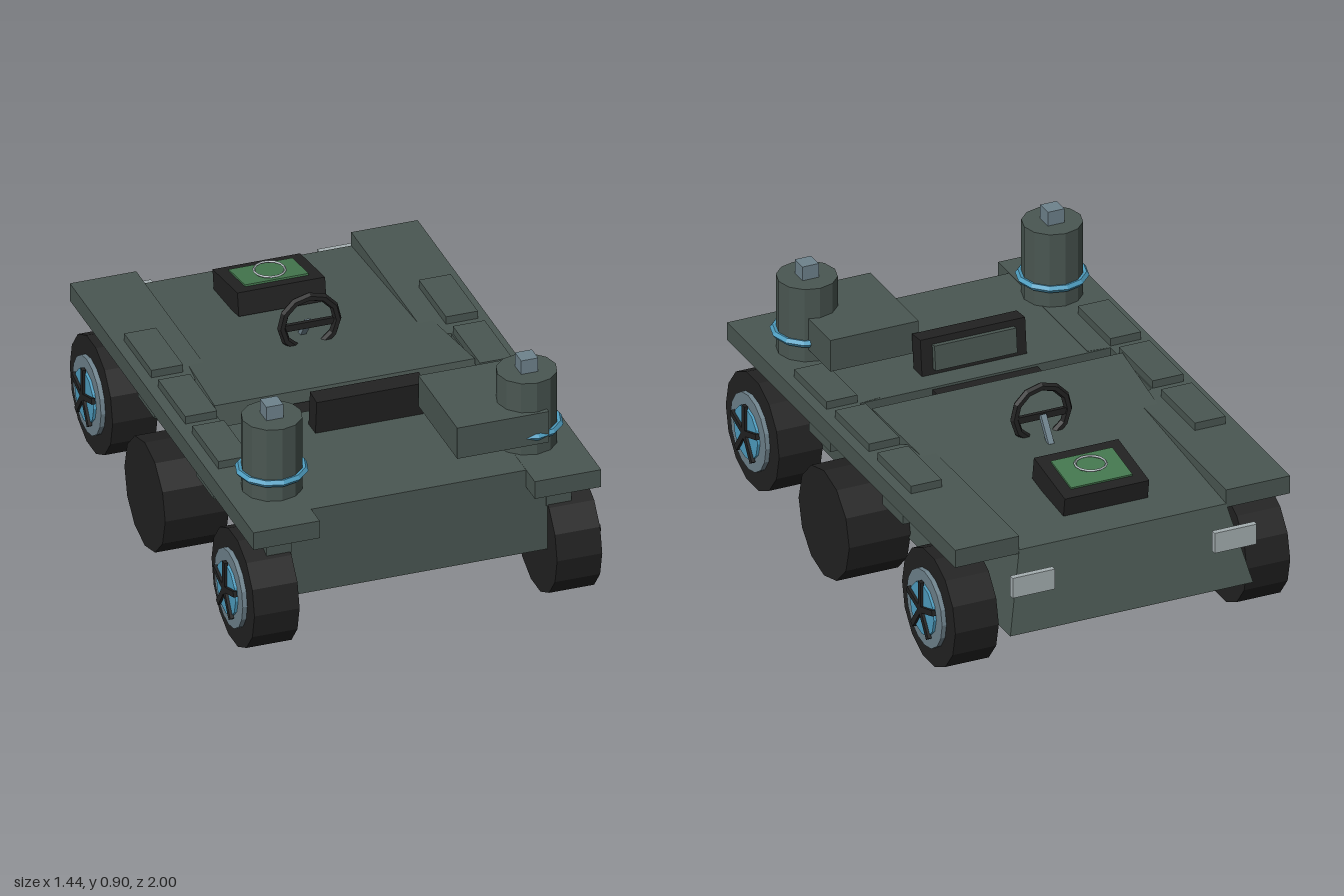
import * as THREE from 'three';

const paint = (name, color) => {
  const m = new THREE.MeshStandardMaterial({ color });
  m.name = name;
  m.flatShading = true;
  return m;
};

export function createModel() {
  const root = new THREE.Group();
  root.name = 'buggy';
  const hullGreen = paint('hull green', 0x4a5752);
  const black = paint('black rubber', 0x222222);
  const steel = paint('steel', 0x6f838d);
  const blue = paint('blue', 0x4f9fc2);
  const green = paint('screen green', 0x45784f);
  const pale = paint('pale grey', 0xa6b0b2);

  const add = (name, geo, mat, x = 0, y = 0, z = 0, parent = root) => {
    const m = new THREE.Mesh(geo, mat);
    m.name = name;
    m.position.set(x, y, z);
    parent.add(m);
    return m;
  };
  // Box given by its limits on each axis
  const box = (name, mat, x0, x1, y0, y1, z0, z1, parent = root) =>
    add(name, new THREE.BoxGeometry(x1 - x0, y1 - y0, z1 - z0), mat,
      (x0 + x1) / 2, (y0 + y1) / 2, (z0 + z1) / 2, parent);
  // The same box on both sides
  const pair = (name, mat, x0, x1, ...rest) => {
    box(name, mat, x0, x1, ...rest);
    box(name, mat, -x1, -x0, ...rest);
  };

  // Rear hull: box whose corners move to give a sloped deck and raked ends
  const rear = new THREE.BoxGeometry(2, 2, 2);
  const p = rear.attributes.position;
  for (let i = 0; i < p.count; i++) {
    const top = p.getY(i) > 0, front = p.getZ(i) > 0, s = Math.sign(p.getX(i));
    if (top) p.setXYZ(i, s * (front ? 0.49 : 0.405), front ? 0.588 : 0.505, front ? 0.14 : -0.9);
    else p.setXYZ(i, s * (front ? 0.49 : 0.475), 0.21, front ? 0.22 : -0.975);
  }
  rear.computeVertexNormals();
  add('rearHull', rear, hullGreen);

  // Front hull and its wider shoulders
  box('frontHull', hullGreen, -0.485, 0.485, 0.222, 0.559, 0.24, 0.9);
  pair('shoulder', hullGreen, 0.48, 0.575, 0.4, 0.5, 0.6, 0.905);

  // Side decks, cut back at the middle to clear the rear hull
  const outline = [[0.655, -0.9], [0.655, 0.99], [0.405, 0.99], [0.405, 0.25],
    [0.49, 0.24], [0.49, -0.1], [0.405, -0.15], [0.405, -0.9]];
  for (const s of [1, -1]) {
    const shape = new THREE.Shape(outline.map(([x, z]) => new THREE.Vector2(s * x, -z)));
    const geo = new THREE.ExtrudeGeometry(shape, { depth: 0.07, bevelEnabled: false });
    geo.rotateX(-Math.PI / 2);
    add('sideDeck', geo, hullGreen, 0, 0.49, 0);
  }

  // Raised pads on the decks and brackets beneath them
  for (const [z0, z1] of [[0.25, 0.52], [-0.1, 0.18], [-0.45, -0.17]])
    pair('deckPad', hullGreen, 0.495, 0.615, 0.555, 0.59, z0, z1);
  for (const [y, z0, z1] of [[0.42, 0.25, 0.53], [0.385, 0.25, 0.43],
    [0.42, -0.45, -0.17], [0.385, -0.35, -0.18], [0.42, -0.1, 0.18]])
    pair('bracket', hullGreen, 0.47, 0.6, y, 0.495, z0, z1);

  // Wheels: four with spoked hubs, two plain in the middle
  const buildWheel = (s, z) => {
    const g = new THREE.Group();
    g.name = 'wheel';
    g.position.set(s * 0.57, 0.225, z);
    g.rotation.y = s > 0 ? 0 : Math.PI;
    const disc = (name, r, x0, x1, mat, n) => {
      const geo = new THREE.CylinderGeometry(r, r, x1 - x0, n);
      geo.rotateZ(Math.PI / 2);
      return add(name, geo, mat, (x0 + x1) / 2, 0, 0, g);
    };
    disc('tyre', 0.221, -0.085, 0.085, black, 14);
    disc('rim', 0.147, 0.08, 0.102, steel, 16);
    disc('hubPlate', 0.1, 0.1, 0.112, blue, 12);
    for (let i = 0; i < 5; i++) {
      const a = i * Math.PI * 2 / 5;
      const spoke = add('spoke', new THREE.BoxGeometry(0.014, 0.11, 0.022), black,
        0.115, Math.cos(a) * 0.055, Math.sin(a) * 0.055, g);
      spoke.rotation.x = a;
    }
    root.add(g);
  };
  for (const s of [1, -1]) {
    for (const z of [0.78, -0.68]) buildWheel(s, z);
    const geo = new THREE.CylinderGeometry(0.21, 0.21, 0.24, 12);
    geo.rotateZ(Math.PI / 2);
    add('middleWheel', geo, black, s * 0.6, 0.225, 0.05);
  }

  // Front towers with blue collars and square caps
  for (const s of [1, -1]) {
    add('tower', new THREE.CylinderGeometry(0.11, 0.11, 0.38, 12), hullGreen, s * 0.48, 0.66, 0.7);
    const ring = new THREE.TorusGeometry(0.118, 0.014, 5, 12);
    ring.rotateX(Math.PI / 2);
    add('towerCollar', ring, blue, s * 0.48, 0.637, 0.7);
    box('towerCap', steel, s * 0.48 - 0.032, s * 0.48 + 0.032, 0.84, 0.905, 0.668, 0.732);
  }
  box('equipmentBox', hullGreen, 0.175, 0.52, 0.607, 0.732, 0.42, 0.82);

  // Seat with tilted backrest and cushion
  box('seat', black, -0.205, 0.205, 0.4, 0.55, 0.16, 0.25);
  const back = new THREE.Group();
  back.name = 'backrest';
  back.position.set(0, 0.625, 0.37);
  back.rotation.x = 0.1;
  box('backFrame', black, -0.205, 0.205, -0.07, 0.07, -0.035, 0.035, back);
  box('backCushion', hullGreen, -0.16, 0.16, -0.05, 0.045, -0.055, -0.03, back);
  root.add(back);

  // Steering wheel and column
  add('steeringWheel', new THREE.TorusGeometry(0.105, 0.016, 6, 10, Math.PI * 1.7), black, 0, 0.636, -0.225)
    .rotation.z = -Math.PI * 0.35;
  box('steeringSpoke', black, -0.1, 0.1, 0.615, 0.64, -0.235, -0.22);
  const column = box('steeringColumn', steel, -0.011, 0.011, 0.535, 0.645, -0.28, -0.26);
  column.rotation.x = 0.65;

  // Console with screen and marker ring
  const console_ = new THREE.Group();
  console_.name = 'console';
  console_.position.set(0, 0.567, -0.635);
  console_.rotation.x = -0.16;
  box('consoleCase', black, -0.165, 0.165, -0.045, 0.045, -0.13, 0.13, console_);
  box('screen', green, -0.12, 0.12, 0.044, 0.052, -0.085, 0.085, console_);
  root.add(console_);
  const marker = new THREE.TorusGeometry(0.056, 0.005, 4, 14);
  marker.rotateX(-Math.PI / 2);
  add('screenRing', marker, pale, 0, 0.631, -0.635);

  // Rear lamps
  pair('rearLamp', pale, 0.313, 0.477, 0.375, 0.455, -1.0, -0.978);
  return root;
}
